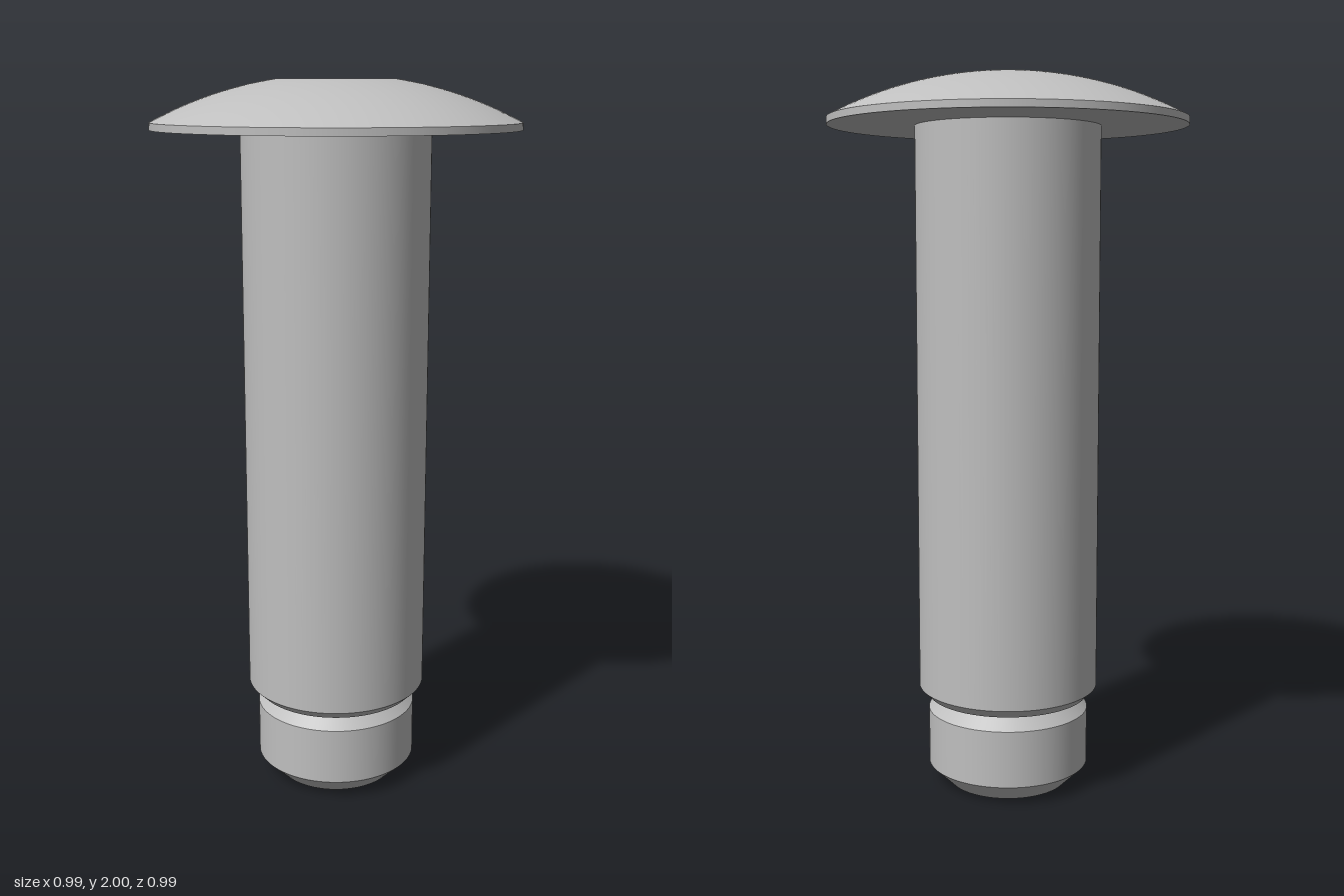
import * as THREE from 'three';

const SEGMENTS = 96;

export function createModel() {
  const steel = new THREE.MeshStandardMaterial({ color: 0xbfbfbf });
  steel.name = 'steelGrey';

  const model = new THREE.Group();
  model.name = 'domedPin';

  // One lathe per face keeps the edges between faces sharp.
  // Profiles run from the bottom, outwards, up and back to the axis.
  function turn(parent, name, profile) {
    const points = profile.map(([r, y]) => new THREE.Vector2(r, y));
    const mesh = new THREE.Mesh(new THREE.LatheGeometry(points, SEGMENTS), steel);
    mesh.name = name;
    parent.add(mesh);
  }

  function part(name, faces) {
    const group = new THREE.Group();
    group.name = name;
    for (const [faceName, ...profile] of faces) turn(group, faceName, profile);
    model.add(group);
  }

  // Grooved tip with a chamfered end
  part('tip', [
    ['tipEnd', [0, 0], [0.172, 0]],
    ['tipChamfer', [0.172, 0], [0.23, 0.056]],
    ['tipWall', [0.23, 0.056], [0.23, 0.217]],
    ['grooveCone', [0.23, 0.217], [0.188, 0.26]],
  ]);

  // Long plain shank
  part('shank', [
    ['shankShoulder', [0.188, 0.26], [0.231, 0.26]],
    ['shankChamfer', [0.231, 0.26], [0.257, 0.286]],
    ['shankWall', [0.257, 0.286], [0.257, 1.87]],
  ]);

  // Dome follows a circular arc from the rim to the recess edge
  const rim = 0.496, edge = 0.168, centreY = 0.96;
  const radius = Math.hypot(edge, 2 - centreY);
  const dome = [];
  for (let i = 0; i <= 20; i++) {
    const r = THREE.MathUtils.lerp(rim, edge, i / 20);
    dome.push([r, centreY + Math.sqrt(radius * radius - r * r)]);
  }

  // Wide head with a shallow recess on top
  part('head', [
    ['headUnderside', [0.257, 1.87], [rim, 1.87]],
    ['headRim', [rim, 1.87], dome[0]],
    ['headDome', ...dome],
    ['recessWall', [edge, 2], [0.155, 1.978]],
    ['recessFloor', [0.155, 1.978], [0, 1.978]],
  ]);

  return model;
}
